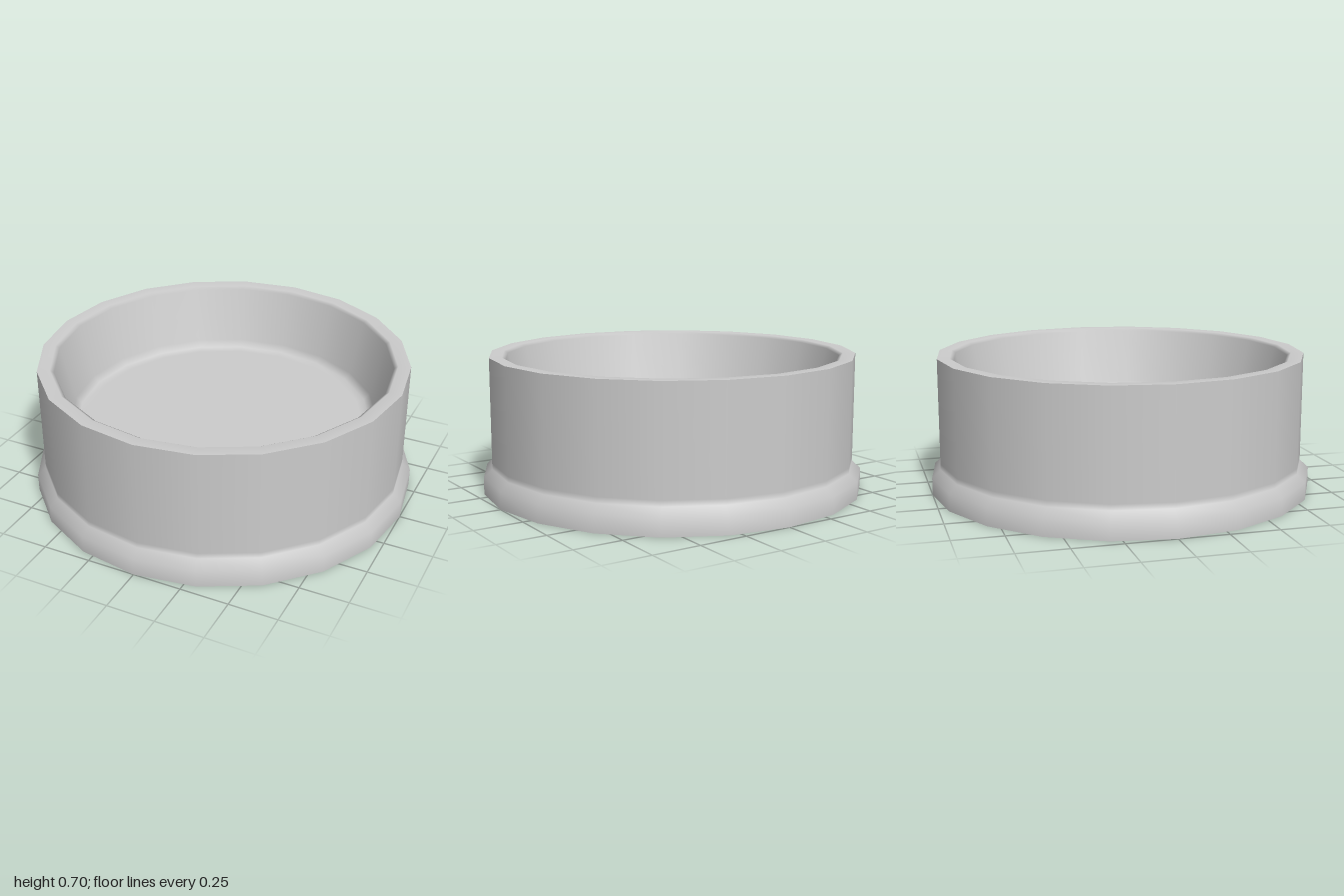
import * as THREE from 'three';

const SIDES = 20;

// Each part is a smooth turned section; separate parts meet at sharp edges.
function turned(name, profile, material) {
  const points = profile.map(([r, y]) => new THREE.Vector2(r, y));
  const mesh = new THREE.Mesh(new THREE.LatheGeometry(points, SIDES), material);
  mesh.name = name;
  return mesh;
}

export function createModel() {
  const group = new THREE.Group();
  group.name = 'shallowBowl';
  const material = new THREE.MeshStandardMaterial({ color: 0xcccccc });

  group.add(
    // flat disc the bowl stands on
    turned('underside', [[0, 0], [1, 0]], material),
    // flared foot with a sloped shoulder, then the straight wall
    turned('outerWall', [[1, 0], [1, 0.09], [0.955, 0.13], [0.955, 0.16], [0.955, 0.705]], material),
    // rim, tapering inner wall, soft fillet and raised floor
    turned('rimAndInterior', [
      [0.955, 0.705], [0.89, 0.705], [0.87, 0.692],
      [0.8, 0.4], [0.77, 0.367], [0.73, 0.36], [0, 0.36],
    ], material),
  );
  return group;
}
